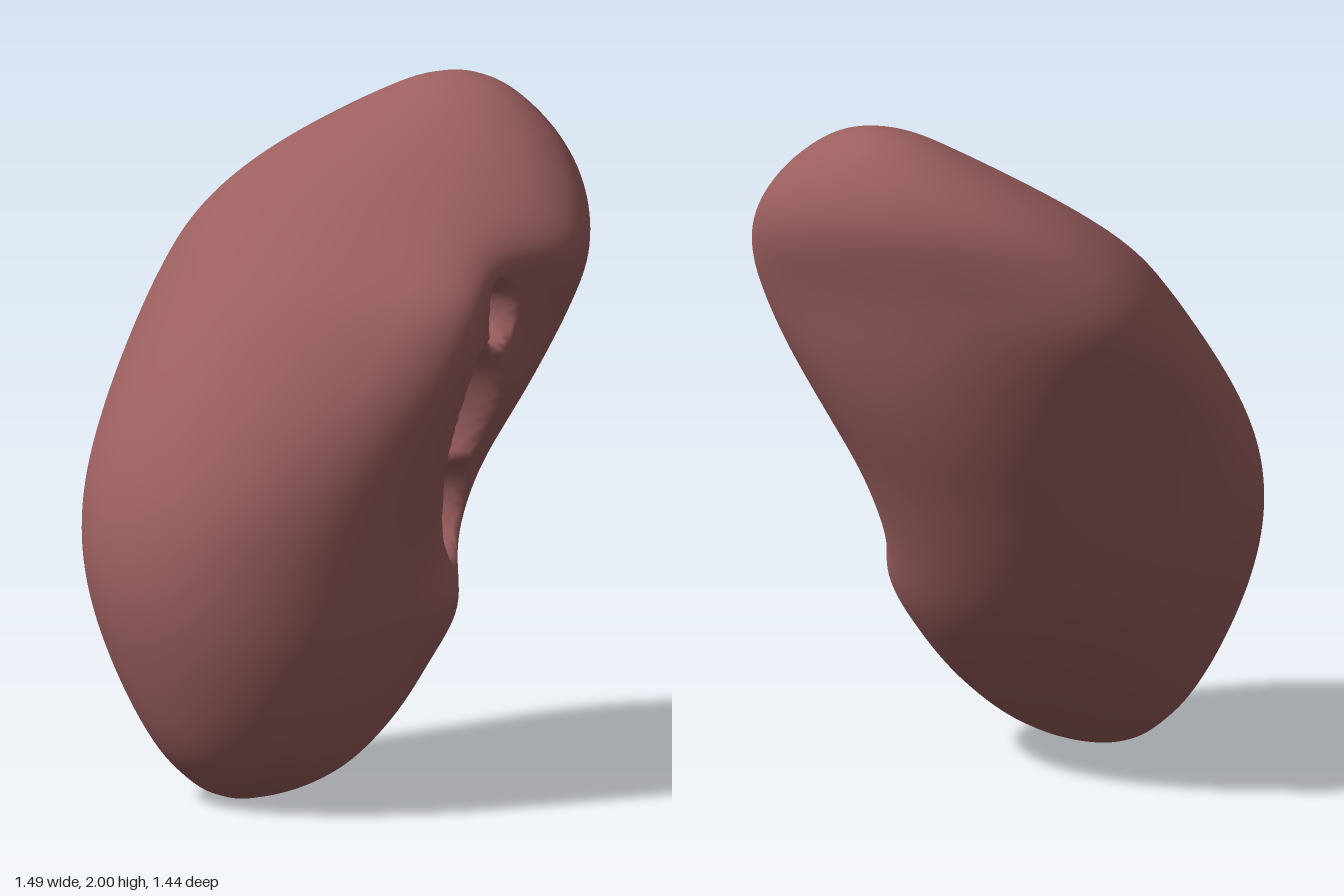
import * as THREE from 'three';
import { mergeVertices } from 'three/addons/utils/BufferGeometryUtils.js';

// Horizontal sections: y, x min, x max, z min, z max, skew towards the inner side
const SECTIONS = [
  [0, -0.3, -0.3, 0.28, 0.28, 0], [0.012, -0.385, -0.205, 0.185, 0.375, 0],
  [0.05, -0.445, -0.085, 0.095, 0.465, 0], [0.11, -0.51, 0.015, 0, 0.55, 0],
  [0.2, -0.58, 0.12, -0.12, 0.625, -0.03], [0.4, -0.675, 0.28, -0.32, 0.695, -0.08],
  [0.6, -0.74, 0.34, -0.46, 0.715, -0.12], [0.8, -0.755, 0.40, -0.54, 0.70, -0.12],
  [1.0, -0.71, 0.48, -0.61, 0.66, -0.09], [1.2, -0.61, 0.61, -0.67, 0.57, 0.04],
  [1.4, -0.49, 0.705, -0.705, 0.49, 0.2], [1.5, -0.425, 0.735, -0.71, 0.42, 0.26],
  [1.6, -0.35, 0.75, -0.705, 0.285, 0.29], [1.7, -0.23, 0.74, -0.7, 0.14, 0.3],
  [1.8, -0.08, 0.7, -0.67, 0.03, 0.3], [1.9, 0.11, 0.62, -0.59, -0.1, 0.3],
  [1.96, 0.23, 0.54, -0.5, -0.2, 0.3], [1.99, 0.31, 0.48, -0.44, -0.28, 0.3],
  [2, 0.4, 0.4, -0.36, -0.36, 0.3],
];
// Soft valleys and the lower lip of the notch: across, height, half width, half height, depth
const VALLEYS = [
  [0.19, 1.42, 0.19, 0.2, 0.15],
  [0.09, 0.98, 0.19, 0.32, 0.1],
  [0.04, 0.55, 0.22, 0.13, -0.045],
];
// Deep hollows inside the notch, same fields
const HOLLOWS = [
  [0.145, 1.4, 0.075, 0.1, 0.2],
  [0.06, 1.1, 0.135, 0.23, 0.28],
  [0.11, 0.82, 0.11, 0.16, 0.22],
];
const ROWS = 190, SIDES = 200;

const track = (a, b) => new THREE.CatmullRomCurve3(
  SECTIONS.map((s) => new THREE.Vector3(s[0], s[a], s[b])), false, 'catmullrom', 0.5);
const xTrack = track(1, 2), zTrack = track(3, 4), skewTrack = track(5, 5);

// Averaged point of a track, so the sections blend softly
function sample(curve, t) {
  const reach = Math.min(t, 1 - t, 0.045), sum = new THREE.Vector3();
  for (let k = -3; k <= 3; k++) sum.add(curve.getPoint(t + (reach * k) / 3));
  return sum.divideScalar(7);
}

// Inward push around the notch, for a point on the inner side
function notchDepth(across, y) {
  const reach = ([w, h, rw, rh]) => Math.hypot((across - w) / rw, (y - h) / rh);
  let broad = 0, deep = 0;
  for (const v of VALLEYS) broad += v[4] * Math.exp(-(reach(v) ** 2));
  for (const h of HOLLOWS) {
    deep = Math.max(deep, h[4] * (1 - THREE.MathUtils.smoothstep(reach(h), 0.45, 1.08)));
  }
  return broad + deep;
}

function bodyGeometry() {
  const positions = [], index = [];
  for (let i = 0; i <= ROWS; i++) {
    const t = i / ROWS;
    const xs = sample(xTrack, t), zs = sample(zTrack, t), skew = sample(skewTrack, t).y;
    const y = THREE.MathUtils.clamp(xs.x, 0, 2);
    const cx = (xs.y + xs.z) / 2, hx = (xs.z - xs.y) / 2;
    const cz = (zs.y + zs.z) / 2, hz = (zs.z - zs.y) / 2;
    // The outer side is fuller at the upper middle
    const power = 2 + 0.7 * Math.exp(-(((y - 1.42) / 0.3) ** 2));
    for (let j = 0; j < SIDES; j++) {
      const a = (j / SIDES) * Math.PI * 2, c = Math.cos(a), s = Math.sin(a);
      const full = c < 0 ? (Math.abs(c) ** power + Math.abs(s) ** power) ** (-1 / power) : 1;
      let x = cx + hx * c * full;
      let z = cz + hz * full * (skew * c + Math.sqrt(1 - skew * skew) * s);
      if (x - cx + z - cz > 0) {
        const push = notchDepth((x - z) * Math.SQRT1_2, y) * Math.SQRT1_2;
        x -= push;
        z -= push;
      }
      positions.push(x, y, z);
      if (i < ROWS) {
        const k = i * SIDES, n = (j + 1) % SIDES;
        if (i < ROWS - 1) index.push(k + j, k + SIDES + j, k + SIDES + n);
        else index.push(k + j, k + SIDES, k + n);
        if (i > 0 && i < ROWS - 1) index.push(k + j, k + SIDES + n, k + n);
      }
    }
  }
  const g = new THREE.BufferGeometry();
  g.setAttribute('position', new THREE.Float32BufferAttribute(positions, 3));
  g.setIndex(index);
  const merged = mergeVertices(g, 1e-5);
  merged.computeVertexNormals();
  return merged;
}

export function createModel() {
  const group = new THREE.Group();
  group.name = 'kidney';
  const body = new THREE.Mesh(bodyGeometry(), new THREE.MeshStandardMaterial({ color: 0x9c5f5f }));
  body.name = 'body';
  group.add(body);
  return group;
}
